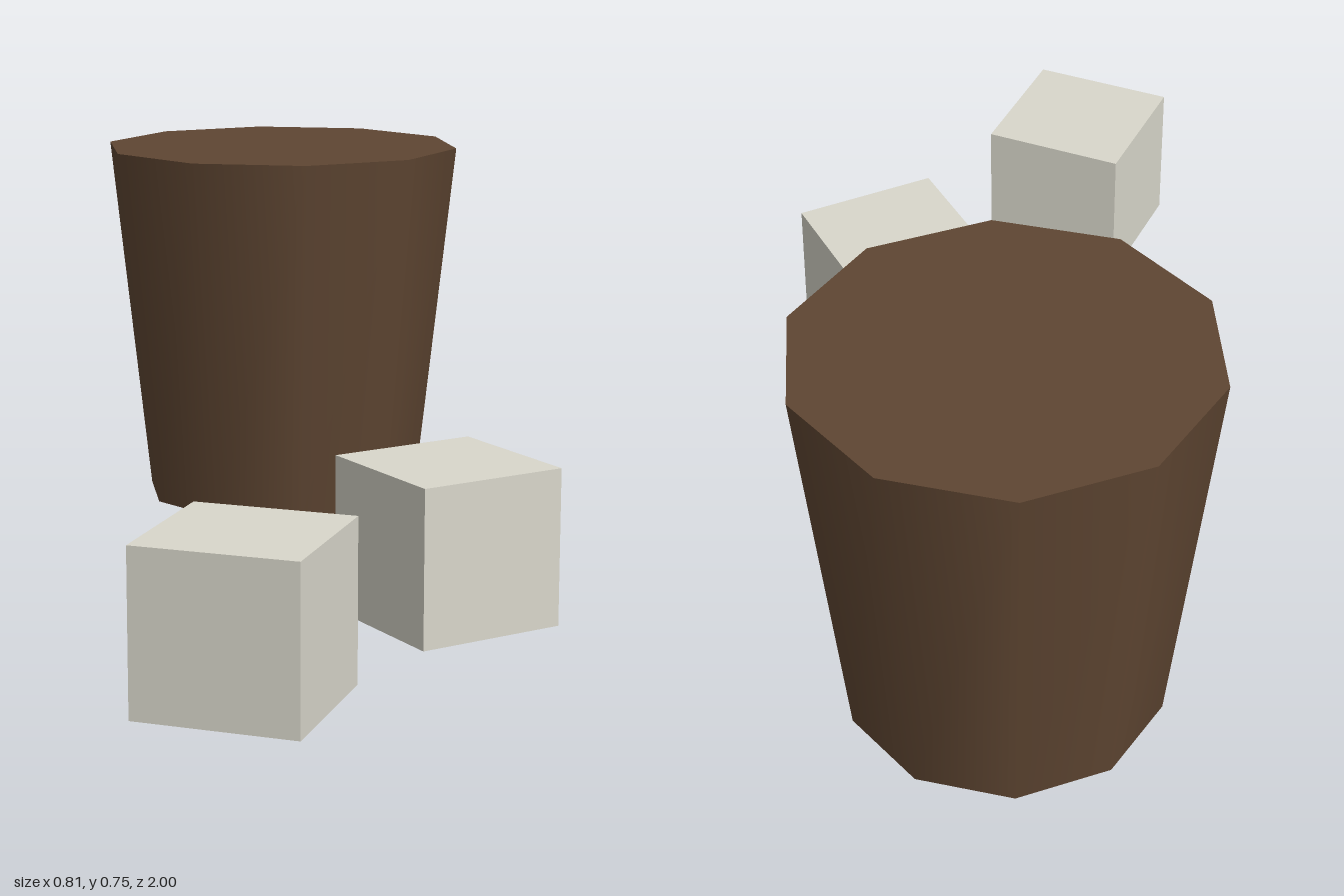
import * as THREE from 'three';

export function createModel() {
  const model = new THREE.Group();
  const brown = new THREE.MeshStandardMaterial({ name: 'dark brown', color: 0x5f4632 });
  const paleGrey = new THREE.MeshStandardMaterial({ name: 'pale stone grey', color: 0xd9d7cb });

  const add = (name, geometry, material, x, y, z, turn = 0) => {
    const mesh = new THREE.Mesh(geometry, material);
    mesh.name = name;
    mesh.position.set(x, y, z);
    mesh.rotation.y = turn;
    model.add(mesh);
  };

  // Ten-sided tub, flaring towards the top
  const tubHeight = 0.755;
  add('tub', new THREE.CylinderGeometry(0.377, 0.293, tubHeight, 10), brown, 0.043, tubHeight / 2, -0.623);

  // Two cubes in front, each turned about the vertical
  const side = 0.293;
  const cube = new THREE.BoxGeometry(side, side, side);
  add('leftCube', cube, paleGrey, 0.21, side / 2, 0.385, 0.401);
  add('rightCube', cube, paleGrey, -0.208, side / 2, 0.803, -0.473);

  return model;
}
